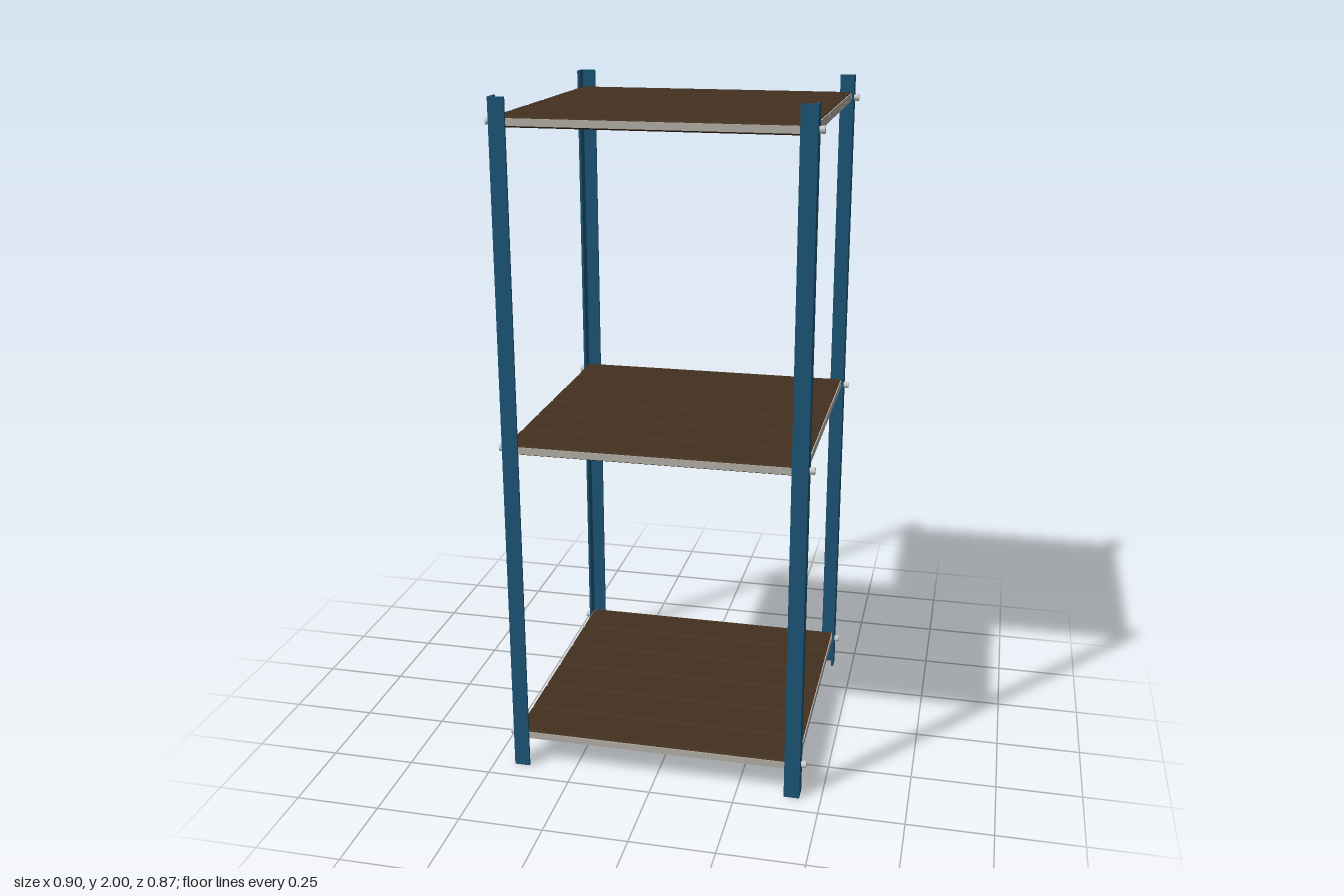
import * as THREE from 'three';

const mat = (color) => new THREE.MeshStandardMaterial({ color });
const blue = mat(0x1c5577), brown = mat(0x43301f), edgeGrey = mat(0xb4b0a8), steel = mat(0xcccccc);

const HALF = 0.428;        // half size of a shelf
const PLANKS = 6;
const THICK = 0.03;
const SHELF_Y = [0.1, 1.016, 1.934];

function add(parent, name, geometry, material, x = 0, y = 0, z = 0) {
  const mesh = new THREE.Mesh(geometry, material);
  mesh.name = name;
  mesh.position.set(x, y, z);
  parent.add(mesh);
  return mesh;
}

// Chamfered board section (z across, y up) extruded along x and centred
function boardGeometry(width, height, length, cz, cy) {
  const w = width / 2, h = height / 2;
  const shape = new THREE.Shape([
    [-w, -h + cy], [-w + cz, -h], [w - cz, -h], [w, -h + cy],
    [w, h - cy], [w - cz, h], [-w + cz, h], [-w, h - cy],
  ].map(([a, b]) => new THREE.Vector2(a, b)));
  const geo = new THREE.ExtrudeGeometry(shape, { depth: length, bevelEnabled: false });
  return geo.translate(0, 0, -length / 2).rotateY(Math.PI / 2);
}

// L-shaped angle upright with its outer corner at (+0.437, +0.437)
function postGeometry() {
  const o = 0.437, i = 0.391, t = 0.007;
  const shape = new THREE.Shape([
    [o, -o], [o, -i], [o - t, -i], [o - t, -o + t], [i, -o + t], [i, -o],
  ].map(([a, b]) => new THREE.Vector2(a, b)));
  return new THREE.ExtrudeGeometry(shape, { depth: 2, bevelEnabled: false }).rotateX(-Math.PI / 2);
}

function makeShelf() {
  const shelf = new THREE.Group();
  shelf.name = 'shelf';
  const pitch = 2 * HALF / PLANKS;
  const board = boardGeometry(pitch - 0.001, THICK, 2 * HALF - 0.006, 0.009, 0.006);
  const cap = boardGeometry(pitch - 0.003, THICK - 0.006, 0.004, 0.006, 0.004);
  for (let i = 0; i < PLANKS; i++) {
    const z = -HALF + pitch * (i + 0.5);
    add(shelf, 'plank', board, brown, 0, 0, z);
    for (const s of [-1, 1]) add(shelf, 'plankEnd', cap, edgeGrey, s * (HALF - 0.002), 0, z);
  }
  // Pale edging on front and back
  const strip = new THREE.BoxGeometry(2 * HALF, THICK - 0.01, 0.004);
  for (const s of [-1, 1]) add(shelf, 'edgeStrip', strip, edgeGrey, 0, 0, s * (HALF - 0.001));
  // Bolts through the uprights at each corner
  const shank = new THREE.CylinderGeometry(0.009, 0.009, 0.024, 16).rotateZ(Math.PI / 2);
  const head = new THREE.CylinderGeometry(0.0105, 0.0105, 0.01, 16).rotateZ(Math.PI / 2);
  for (const sx of [-1, 1]) for (const sz of [-1, 1]) {
    add(shelf, 'boltShank', shank, steel, sx * 0.434, 0, sz * 0.41);
    add(shelf, 'boltHead', head, steel, sx * 0.447, 0, sz * 0.41);
  }
  return shelf;
}

export function createModel() {
  const model = new THREE.Group();
  model.name = 'shelvingUnit';
  // Four uprights, one turned to each corner
  const post = postGeometry();
  for (let i = 0; i < 4; i++) add(model, 'cornerPost', post, blue).rotation.y = i * Math.PI / 2;
  // Three equal shelves
  for (const y of SHELF_Y) {
    const shelf = makeShelf();
    shelf.position.y = y;
    model.add(shelf);
  }
  return model;
}
